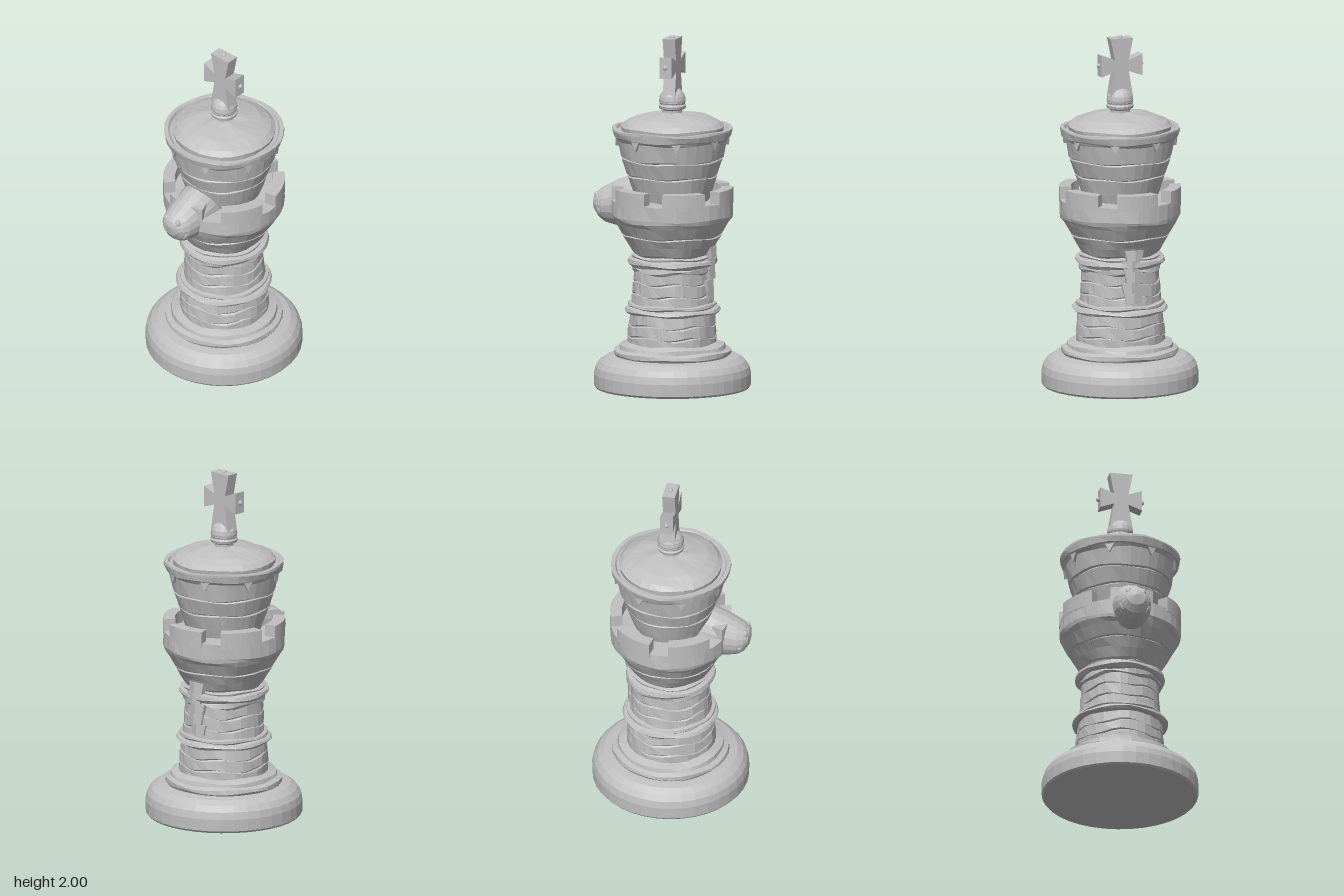
import * as THREE from 'three';

const AXIS_Z = -0.012; // the turned body sits slightly behind the origin, the muzzle sticks out in front

export function createModel() {
  const model = new THREE.Group();
  model.name = 'chessPiece';
  const stone = new THREE.MeshStandardMaterial({ color: 0xc0c0c0 });
  stone.name = 'stone grey';

  // Faceted mesh helper
  function add(name, geometry, x = 0, y = 0, z = AXIS_Z) {
    const flat = geometry.index ? geometry.toNonIndexed() : geometry;
    flat.computeVertexNormals();
    const mesh = new THREE.Mesh(flat, stone);
    mesh.name = name;
    mesh.position.set(x, y, z);
    model.add(mesh);
    return mesh;
  }

  // Turned part, with an optional hand-chiselled unevenness
  function turned(name, profile, rough = 0, sides = 32) {
    const geo = new THREE.LatheGeometry(profile.map(([r, y]) => new THREE.Vector2(r, y)), sides);
    const p = geo.attributes.position;
    for (let i = 0; i < p.count; i++) {
      const a = Math.atan2(p.getX(i), p.getZ(i)), y = p.getY(i);
      const k = 1 + rough * Math.sin(7 * a + 41 * y) * Math.cos(4 * a - 67 * y);
      p.setXYZ(i, p.getX(i) * k, y + rough * 0.4 * Math.sin(5 * a + 90 * y), p.getZ(i) * k);
    }
    return add(name, geo);
  }

  // Foot
  turned('base', [[0, 0], [0.43, 0], [0.44, 0.012], [0.441, 0.08], [0.432, 0.12], [0.41, 0.152],
    [0.375, 0.176], [0.33, 0.184], [0.2, 0.184]], 0, 36);
  turned('footRing', [[0.27, 0.17], [0.318, 0.18], [0.33, 0.195], [0.328, 0.215], [0.3, 0.225],
    [0.295, 0.245], [0.25, 0.26], [0.2, 0.262]], 0.01);

  // Shaft in stone courses
  turned('lowerShaft', [[0.25, 0.24], [0.25, 0.295], [0.244, 0.3], [0.25, 0.305], [0.246, 0.36],
    [0.239, 0.365], [0.244, 0.37], [0.236, 0.45]], 0.022);
  turned('shaftRing', [[0.22, 0.425], [0.258, 0.43], [0.27, 0.442], [0.262, 0.456], [0.24, 0.462],
    [0.25, 0.47], [0.248, 0.482], [0.2, 0.492]], 0.01);
  turned('upperShaft', [[0.23, 0.47], [0.226, 0.53], [0.219, 0.535], [0.225, 0.54], [0.222, 0.6],
    [0.214, 0.605], [0.22, 0.61], [0.218, 0.665], [0.23, 0.675], [0.228, 0.695], [0.2, 0.72]], 0.022);
  turned('collarRing', [[0.2, 0.69], [0.238, 0.698], [0.253, 0.715], [0.248, 0.735], [0.225, 0.742],
    [0.23, 0.752], [0.2, 0.765]], 0.01);

  // Tower bowl with a sunken walkway
  turned('towerBowl', [[0.2, 0.75], [0.222, 0.77], [0.25, 0.82], [0.278, 0.868], [0.272, 0.873],
    [0.282, 0.878], [0.318, 0.94], [0.335, 0.965], [0.341, 0.985], [0.341, 1.07],
    [0.2, 1.07]], 0.01);

  // Six merlons with gaps between them
  const step = Math.PI / 3, gap = 0.16;
  for (let i = 0; i < 6; i++) {
    const a0 = i * step + gap, a1 = (i + 1) * step - gap;
    const sector = new THREE.Shape();
    sector.absarc(0, 0, 0.342, a0, a1, false);
    sector.absarc(0, 0, 0.275, a1, a0, true);
    const geo = new THREE.ExtrudeGeometry(sector, { depth: 0.09, bevelEnabled: false, curveSegments: 5 });
    add('merlon', geo.rotateX(-Math.PI / 2), 0, 1.05);
  }

  // Flared crown
  turned('crown', [[0.2, 1.05], [0.225, 1.12], [0.252, 1.205], [0.246, 1.211], [0.256, 1.217],
    [0.284, 1.3], [0.278, 1.306], [0.289, 1.312], [0.308, 1.41], [0.32, 1.425], [0.329, 1.43],
    [0.338, 1.465], [0.337, 1.476], [0.315, 1.476], [0.305, 1.462], [0.27, 1.46]], 0.01);
  turned('crownDome', [[0.285, 1.45], [0.291, 1.487], [0.265, 1.51], [0.21, 1.535], [0.13, 1.553],
    [0.07, 1.562], [0, 1.565]], 0.008, 28);

  // Pointed teeth under the crown rim
  const tooth = new THREE.Shape([[-0.032, 0.03], [0, -0.03], [0.032, 0.03]].map(([x, y]) => new THREE.Vector2(x, y)));
  for (let i = 0; i < 8; i++) {
    const a = (i + 0.5) * Math.PI / 4;
    const geo = new THREE.ExtrudeGeometry(tooth, { depth: 0.035, bevelEnabled: false });
    const mesh = add('rimTooth', geo, Math.sin(a) * 0.284, 1.405, AXIS_Z + Math.cos(a) * 0.284);
    mesh.rotation.y = a;
  }

  // Finial ball and its neck
  turned('finialNeck', [[0.055, 1.55], [0.055, 1.575], [0.074, 1.585], [0.078, 1.6], [0.07, 1.61],
    [0.075, 1.62], [0.05, 1.635]], 0, 20);
  add('finialBall', new THREE.SphereGeometry(0.075, 16, 10), 0, 1.632);

  // Flared cross, mirrored from its right half
  const half = [[0.066, 1.985], [0.041, 1.86], [0.12, 1.89], [0.12, 1.768], [0.041, 1.797], [0.066, 1.65]];
  const outline = [...half, ...half.map(([x, y]) => [-x, y]).reverse()];
  const crossShape = new THREE.Shape(outline.map(([x, y]) => new THREE.Vector2(x, y)));
  add('cross', new THREE.ExtrudeGeometry(crossShape, { depth: 0.072, bevelEnabled: false }), 0, 0, AXIS_Z - 0.036);
  for (const [x, y] of [[-0.124, 1.83], [0.124, 1.83], [0, 1.986]]) {
    add('crossStud', new THREE.SphereGeometry(0.014, 8, 6), x, y);
  }

  // Animal muzzle from rings: z, top, bottom, half width
  const rings = [[0.1, 1.225, 0.9, 0.122], [0.2, 1.205, 0.9, 0.122], [0.26, 1.185, 0.9, 0.12],
    [0.32, 1.16, 0.905, 0.108], [0.38, 1.128, 0.92, 0.097], [0.415, 1.105, 0.945, 0.08],
    [0.44, 1.08, 0.985, 0.055], [0.452, 1.045, 1.045, 0]];
  const n = 18, verts = [], faces = [];
  rings.forEach(([z, top, bottom, w], i) => {
    for (let j = 0; j < n; j++) {
      const a = j / n * Math.PI * 2;
      verts.push(Math.cos(a) * w, (top + bottom) / 2 + Math.sin(a) * (top - bottom) / 2, z);
      if (i === rings.length - 1) continue;
      const p = i * n + j, q = i * n + (j + 1) % n;
      faces.push(p, q, q + n, p, q + n, p + n);
    }
  });
  const muzzle = new THREE.BufferGeometry();
  muzzle.setAttribute('position', new THREE.Float32BufferAttribute(verts, 3));
  muzzle.setIndex(faces);
  add('muzzle', muzzle, 0, 0, 0);

  // Nostrils and mouth corners
  for (const side of [-1, 1]) {
    const nostril = add('nostril', new THREE.SphereGeometry(0.022, 8, 6), side * 0.042, 1.07, 0.422);
    nostril.scale.set(0.8, 1.2, 0.8);
    const mouth = add('mouthCorner', new THREE.SphereGeometry(0.02, 8, 6), side * 0.072, 0.98, 0.392);
    mouth.scale.set(0.6, 1.5, 1);
    mouth.rotation.z = side * -0.5;
  }

  // Stepped mane running down the back
  for (let i = 0; i < 5; i++) {
    const geo = new THREE.CylinderGeometry(0.062, 0.05, 0.06, 6);
    const lock = add('maneLock', geo, 0.008 * (i % 2 ? 1 : -1), 0.53 + i * 0.062, -0.222 - i * 0.004);
    lock.scale.z = 0.6;
    lock.rotation.x = 0.15;
  }
  return model;
}
